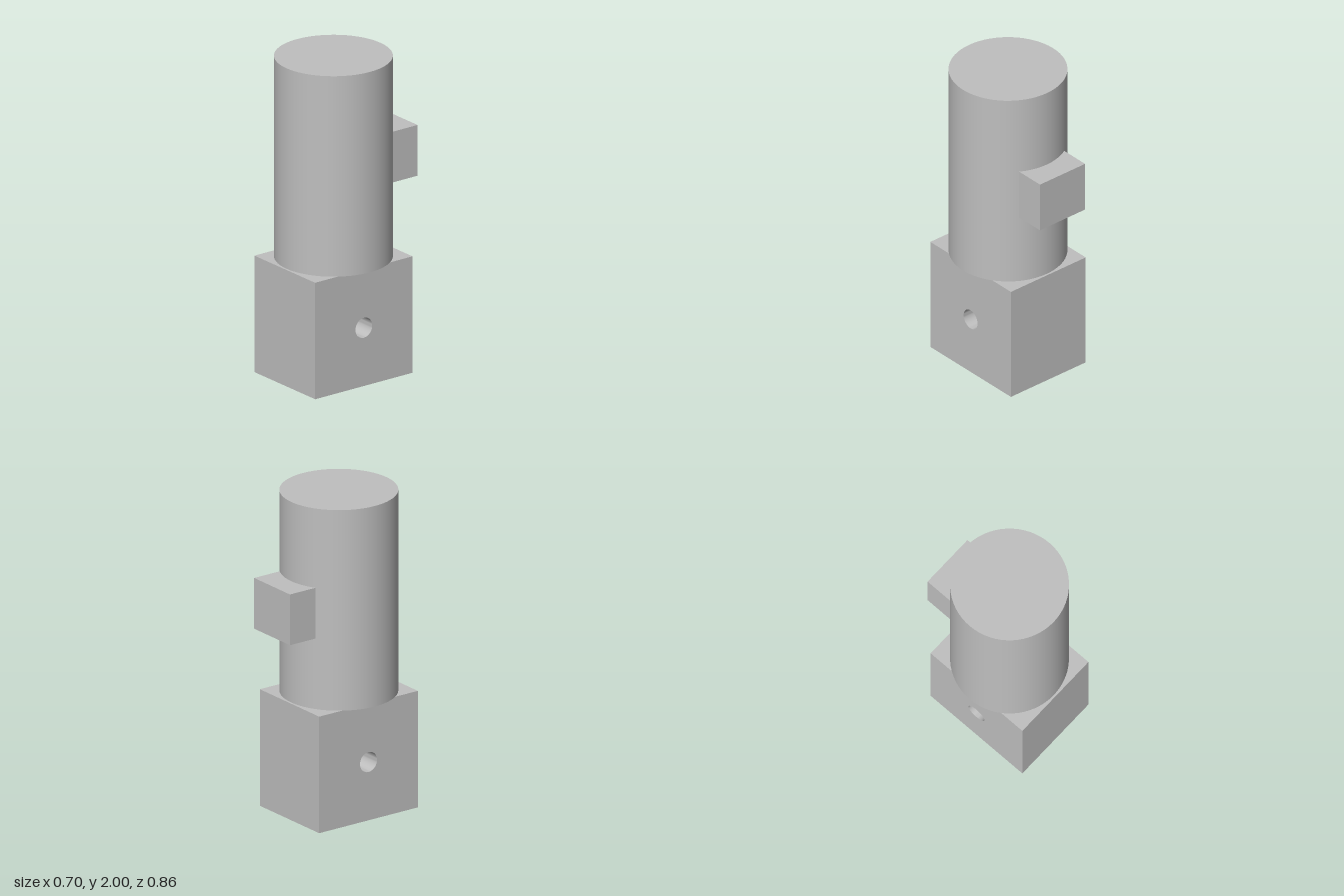
import * as THREE from 'three';
import { toCreasedNormals } from 'three/addons/utils/BufferGeometryUtils.js';

const AXIS_Z = 0.064; // shared centre line of base, bore and body

export function createModel() {
  const group = new THREE.Group();
  const grey = new THREE.MeshStandardMaterial({ color: 0xbfbfbf });
  grey.name = 'grey';

  const add = (name, geometry, x, y, z) => {
    const mesh = new THREE.Mesh(geometry, grey);
    mesh.name = name;
    mesh.position.set(x, y, z);
    group.add(mesh);
  };

  // Base block: side profile with a round bore, extruded across x
  const baseHeight = 0.735, baseDepth = 0.73, baseWidth = 0.584;
  const profile = new THREE.Shape([
    new THREE.Vector2(-baseDepth / 2, -baseHeight / 2),
    new THREE.Vector2(baseDepth / 2, -baseHeight / 2),
    new THREE.Vector2(baseDepth / 2, baseHeight / 2),
    new THREE.Vector2(-baseDepth / 2, baseHeight / 2),
  ]);
  const bore = new THREE.Path();
  bore.absarc(0, 0, 0.063, 0, Math.PI * 2, true);
  profile.holes.push(bore);
  const base = new THREE.ExtrudeGeometry(profile, {
    depth: baseWidth, bevelEnabled: false, curveSegments: 24,
  });
  base.translate(0, 0, -baseWidth / 2);
  base.rotateY(-Math.PI / 2);
  add('baseBlock', toCreasedNormals(base, 0.6), 0, baseHeight / 2, AXIS_Z);

  // Upright cylindrical body
  const bodyHeight = 2 - baseHeight;
  add('cylinderBody', new THREE.CylinderGeometry(0.352, 0.352, bodyHeight, 64),
    0, baseHeight + bodyHeight / 2, AXIS_Z);

  // Rear block, sunk into the curved body
  const backZ = -0.43, innerZ = -0.2;
  add('rearBlock', new THREE.BoxGeometry(0.352, 0.32, innerZ - backZ),
    0, 1.34, (backZ + innerZ) / 2);

  return group;
}
